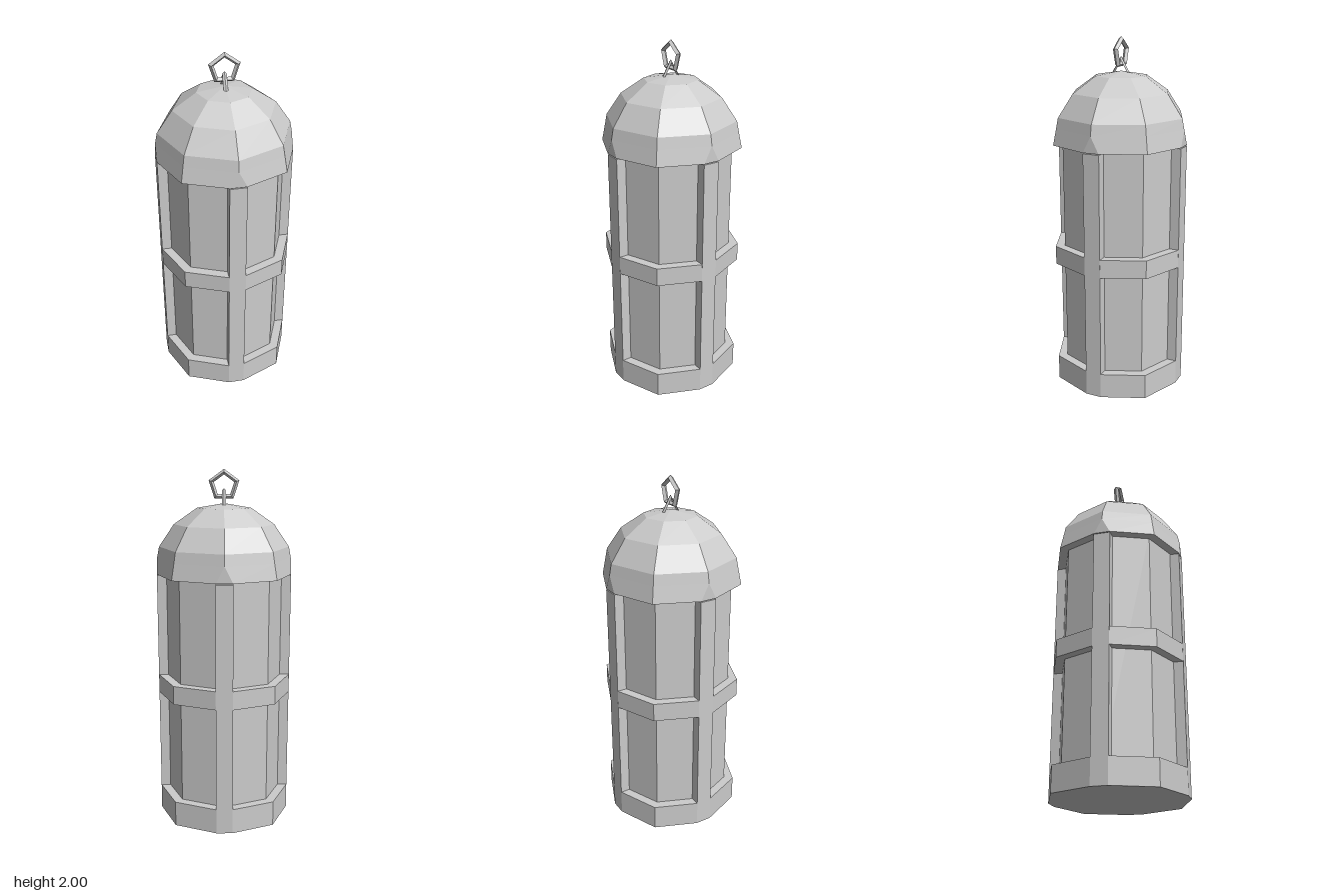
import * as THREE from 'three';

const FLAT = 0.377; // distance of the four flattened corners from the axis
const material = new THREE.MeshStandardMaterial({ color: 0xcccccc, flatShading: true });

// One octagonal ring; corners facing +-x and +-z are cut flat beyond FLAT
function ringPoints(radius, y) {
  const d = Math.min(radius, FLAT);
  const w = (radius - d) / Math.tan(Math.PI / 8);
  const s = radius * Math.SQRT1_2;
  const points = [];
  for (let k = 0; k < 4; k++) {
    for (const [x, z] of [[-w, d], [w, d], [s, s]]) {
      points.push(new THREE.Vector3(x, y, z).applyAxisAngle(THREE.Object3D.DEFAULT_UP, k * Math.PI / 2));
    }
  }
  return points;
}

// Skin a bottom-to-top list of [radius, y] rings, skipping collapsed triangles
function octagonSolid(profile) {
  const rings = profile.map(([r, y]) => ringPoints(r, y));
  const positions = [];
  const addTriangle = (...t) => {
    if (new THREE.Triangle(...t).getArea() > 1e-8) t.forEach(p => positions.push(p.x, p.y, p.z));
  };
  for (let i = 0; i < rings.length - 1; i++) {
    for (let j = 0; j < 12; j++) {
      const n = (j + 1) % 12;
      const [a, b, c, d] = [rings[i][j], rings[i][n], rings[i + 1][n], rings[i + 1][j]];
      addTriangle(a, b, c);
      addTriangle(a, c, d);
    }
  }
  const geometry = new THREE.BufferGeometry();
  geometry.setAttribute('position', new THREE.Float32BufferAttribute(positions, 3));
  geometry.computeVertexNormals();
  return geometry;
}

const band = (radius, y0, y1) => octagonSolid([[0, y0], [radius, y0], [radius, y1], [0, y1]]);

export function createModel() {
  const model = new THREE.Group();
  model.name = 'lantern';
  const add = (name, geometry) => {
    const mesh = new THREE.Mesh(geometry, material);
    mesh.name = name;
    model.add(mesh);
    return mesh;
  };

  // Body: base, recessed panels and middle rail
  add('base', band(0.396, 0, 0.145));
  add('panels', band(0.342, 0.1, 1.45));
  add('middleRail', band(0.396, 0.735, 0.84));

  // Four upright posts
  for (let k = 0; k < 4; k++) {
    const post = add('post', new THREE.BoxGeometry(0.094, 1.275, 0.09).translate(0, 0.7825, FLAT - 0.045));
    post.rotation.y = k * Math.PI / 2;
  }

  // Faceted dome
  add('dome', octagonSolid([
    [0, 1.425], [0.396, 1.425], [FLAT, 1.515], [0.365, 1.575],
    [0.28, 1.7], [0.15, 1.79], [0, 1.815],
  ]));

  // Triangular loop on the dome with a five-sided hanging ring through it
  const loop = add('hangerLoop', new THREE.TorusGeometry(0.058, 0.012, 4, 3).rotateZ(Math.PI / 2).rotateY(Math.PI / 2));
  loop.position.y = 1.825;
  const ring = add('hangingRing', new THREE.TorusGeometry(0.074, 0.015, 4, 5).rotateZ(Math.PI / 2));
  ring.position.y = 1.911;

  return model;
}
